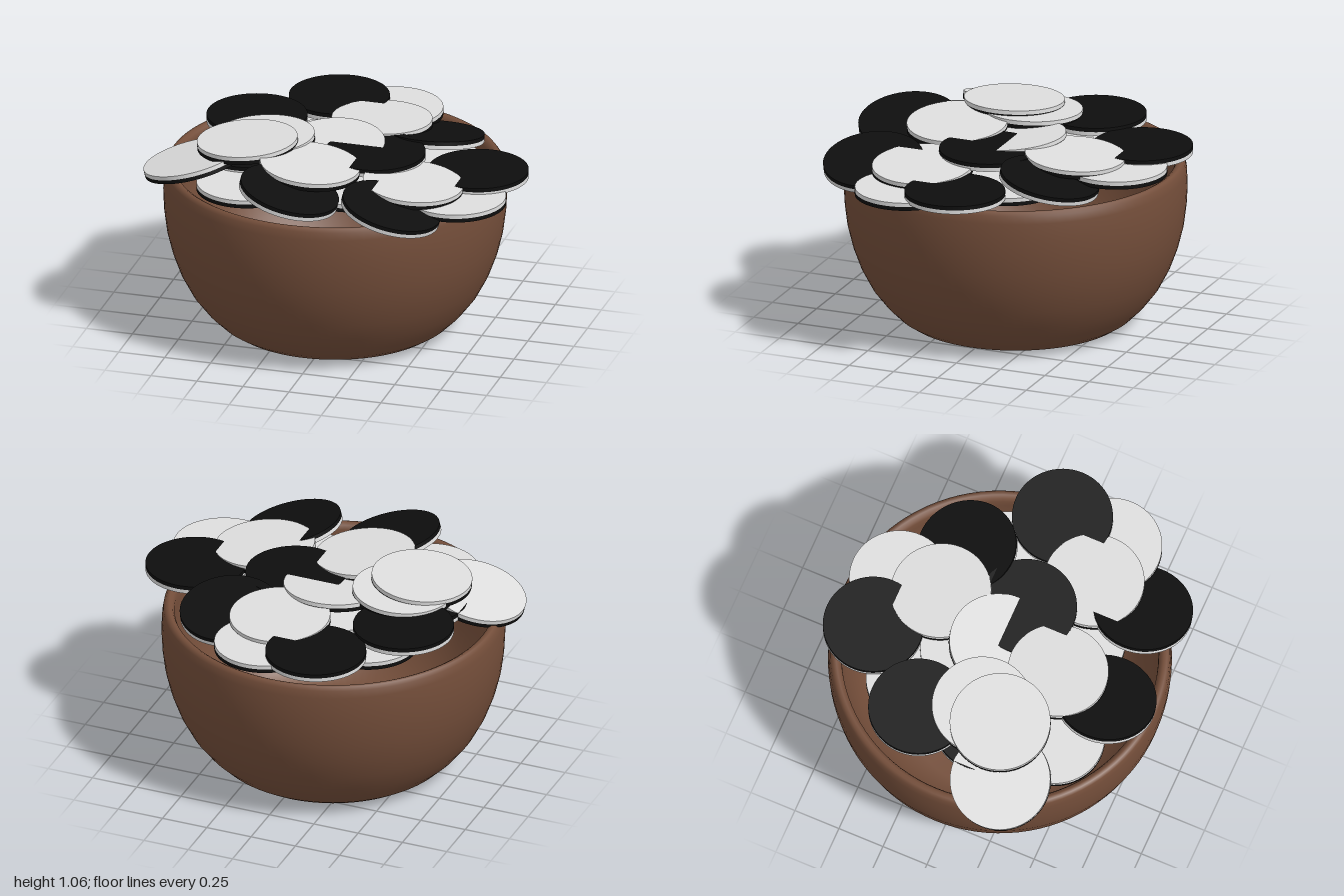
import * as THREE from 'three';

const brown = new THREE.MeshStandardMaterial({ color: 0x744e3a });
brown.name = 'brown wood';
const white = new THREE.MeshStandardMaterial({ color: 0xdedede });
white.name = 'white';
const black = new THREE.MeshStandardMaterial({ color: 0x0e0e0e });
black.name = 'black';

const RADIUS = 0.263, LAYER = 0.021;
const layerGeometry = new THREE.CylinderGeometry(RADIUS, RADIUS, LAYER, 64);
const UP = new THREE.Vector3(0, 1, 0);

// Two-layer disc; (x, y, z) is the centre of its top face, slopes are dy/dx and dy/dz
function makeDisc(topMaterial, x, y, z, slopeX = 0, slopeZ = 0) {
  const disc = new THREE.Group();
  const upper = new THREE.Mesh(layerGeometry, topMaterial);
  const lower = new THREE.Mesh(layerGeometry, topMaterial === white ? black : white);
  upper.name = 'discUpperLayer';
  lower.name = 'discLowerLayer';
  upper.position.y = -LAYER / 2;
  lower.position.y = -LAYER * 1.5;
  disc.add(upper, lower);
  disc.position.set(x, y, z);
  disc.quaternion.setFromUnitVectors(UP, new THREE.Vector3(-slopeX, 1, -slopeZ).normalize());
  return disc;
}

// Hollow round bowl, smooth wall over a flat foot
function makeBowl() {
  const bowl = new THREE.Group();
  const outline = [
    [0.53, 0], [0.575, 0.012], [0.625, 0.045], [0.69, 0.11], [0.755, 0.195], [0.81, 0.3],
    [0.85, 0.41], [0.877, 0.52], [0.891, 0.63], [0.896, 0.73], [0.892, 0.82], [0.885, 0.862],
    [0.872, 0.88], [0.855, 0.882], [0.838, 0.872], [0.828, 0.85], [0.825, 0.8],
    [0.825, 0.7], [0.8, 0.5], [0.73, 0.3], [0.62, 0.15], [0.5, 0.09], [0, 0.08],
  ].map(([r, y]) => new THREE.Vector2(r, y));
  const wall = new THREE.Mesh(new THREE.LatheGeometry(outline, 96), brown);
  wall.name = 'bowlWall';
  const foot = new THREE.Mesh(new THREE.CircleGeometry(0.53, 96), brown);
  foot.name = 'bowlFoot';
  foot.rotation.x = Math.PI / 2;
  bowl.add(wall, foot);
  bowl.name = 'bowl';
  bowl.position.x = -0.047;
  return bowl;
}

export function createModel() {
  const model = new THREE.Group();
  model.name = 'bowlOfDiscs';
  model.add(makeBowl());

  const discs = [
    // lower layer
    [white, -0.38, 0.925, -0.33],
    [white, 0.42, 0.915, -0.15],
    [white, -0.13, 0.955, -0.13],
    [white, -0.39, 0.925, 0.46],
    [white, 0.14, 0.92, 0.345],
    [white, 0.70, 0.917, 0.31],
    [black, -0.48, 0.955, 0.10],
    // around the rim
    [white, 0.08, 0.96, -0.625],
    [black, -0.217, 0.983, -0.645],
    [black, 0.38, 0.96, -0.375, 0, 0.2],
    [black, -0.545, 1.0, -0.245],
    [white, -0.735, 0.955, 0.30, 0.27, 0],
    [black, 0.735, 0.95, 0.015],
    [black, 0.44, 0.945, 0.60, -0.26, 0],
    [black, -0.105, 0.985, 0.63, -0.25, 0],
    // top of the pile
    [white, 0.09, 0.995, -0.395, 0, 0.06],
    [white, -0.05, 1.0, 0, 0, -0.1],
    [black, 0.185, 1.0, 0.05],
    [white, -0.08, 1.018, 0.345, -0.09, 0],
    [white, 0.47, 0.967, 0.31, -0.08, 0],
    [white, -0.415, 1.025, 0.06, 0.05, 0],
    [white, -0.47, 1.045, 0.185, 0.07, 0],
  ];
  discs.forEach((args, i) => {
    const disc = makeDisc(...args);
    disc.name = `disc${i + 1}`;
    model.add(disc);
  });
  return model;
}
